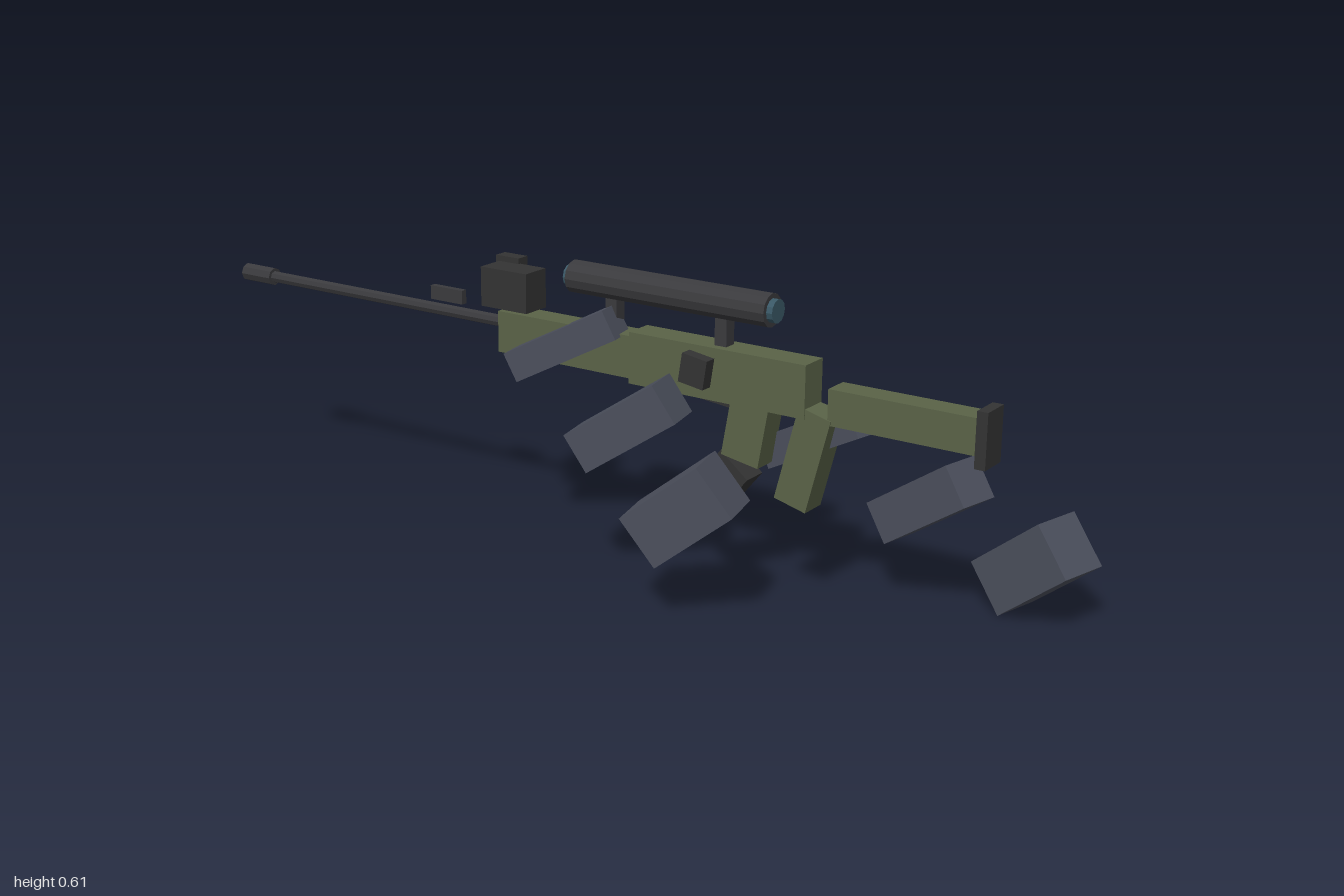
import * as THREE from 'three';

const mat = (color) => new THREE.MeshStandardMaterial({ color, flatShading: true });

export function createModel() {
  const model = new THREE.Group();
  const green = mat(0x5a6347), dark = mat(0x333333), metal = mat(0x3a3a3d);
  const glass = mat(0x3a5866), slate = mat(0x4b4f5c);

  function add(name, geometry, material, x, y, z, pitch = 0, yaw = 0) {
    const mesh = new THREE.Mesh(geometry, material);
    mesh.name = name;
    mesh.position.set(x, y, z);
    mesh.rotation.set(pitch, yaw, 0, 'YXZ');
    model.add(mesh);
    return mesh;
  }
  const box = (name, m, w, h, d, x, y, z, pitch, yaw) =>
    add(name, new THREE.BoxGeometry(w, h, d), m, x, y, z, pitch, yaw);
  // Cylinder lying along z between two z positions
  const rod = (name, m, r, z0, z1, y, sides) =>
    add(name, new THREE.CylinderGeometry(r, r, z1 - z0, sides).rotateX(Math.PI / 2), m, 0, y, (z0 + z1) / 2);

  // Body, running from the butt at +z to the muzzle at -z
  box('buttPad', dark, 0.064, 0.11, 0.022, 0, 0.413, 0.859);
  box('stock', green, 0.056, 0.072, 0.304, 0, 0.417, 0.694);
  box('receiver', green, 0.064, 0.107, 0.405, 0, 0.438, 0.292);
  box('forend', green, 0.058, 0.088, 0.335, 0, 0.438, -0.077);
  box('grip', green, 0.06, 0.2, 0.072, 0, 0.302, 0.491, 0.25);
  box('magazineWell', green, 0.058, 0.14, 0.085, 0, 0.34, 0.362, 0.17);
  box('magazine', dark, 0.057, 0.115, 0.08, 0, 0.216, 0.302, 0.68);

  // Fittings on the sides of the receiver
  box('sidePlate', dark, 0.04, 0.09, 0.13, 0.023, 0.41, 0.302, 0.1);
  box('boltCover', metal, 0.03, 0.024, 0.108, 0.031, 0.474, 0.198);
  box('sideKnob', dark, 0.034, 0.06, 0.058, -0.042, 0.445, 0.258, 0.15);

  // Barrel and muzzle
  rod('barrel', metal, 0.013, -0.93, -0.22, 0.452, 8);
  rod('muzzle', metal, 0.02, -1, -0.915, 0.452, 8);
  box('frontSight', metal, 0.014, 0.03, 0.086, 0, 0.488, -0.402);
  box('sightHousing', dark, 0.067, 0.084, 0.118, 0, 0.53, -0.226);
  box('sightSideBlock', dark, 0.03, 0.052, 0.06, 0.043, 0.558, -0.263);

  // Scope with a lens at each end, on two mounts
  rod('scopeTube', metal, 0.034, -0.068, 0.4, 0.577, 12);
  rod('rearLens', glass, 0.024, 0.39, 0.413, 0.577, 12);
  rod('frontLens', glass, 0.024, -0.08, -0.06, 0.577, 12);
  for (const z of [0.293, 0.033]) box('scopeMount', metal, 0.028, 0.08, 0.027, 0, 0.52, z);

  // Three floating blocks each side, fanning outward; the -x row sits higher and further along the gun
  const blocks = [
    // w, h, l, x, y, z, pitch, yaw
    [0.07, 0.064, 0.25, 0.043, 0.333, 0.485, -0.48, -0.185],
    [0.092, 0.087, 0.225, 0.118, 0.22, 0.69, -0.59, -0.21],
    [0.11, 0.116, 0.195, 0.2, 0.106, 0.88, -0.67, -0.24],
  ];
  for (const side of [1, -1]) {
    const dy = side > 0 ? 0 : 0.114, dz = side > 0 ? 0 : -0.543;
    blocks.forEach(([w, h, l, x, y, z, pitch, yaw], i) =>
      box(`${side > 0 ? 'left' : 'right'}Block${i + 1}`, slate, w, h, l, side * x, y + dy, z + dz, pitch, side * yaw));
  }
  return model;
}
